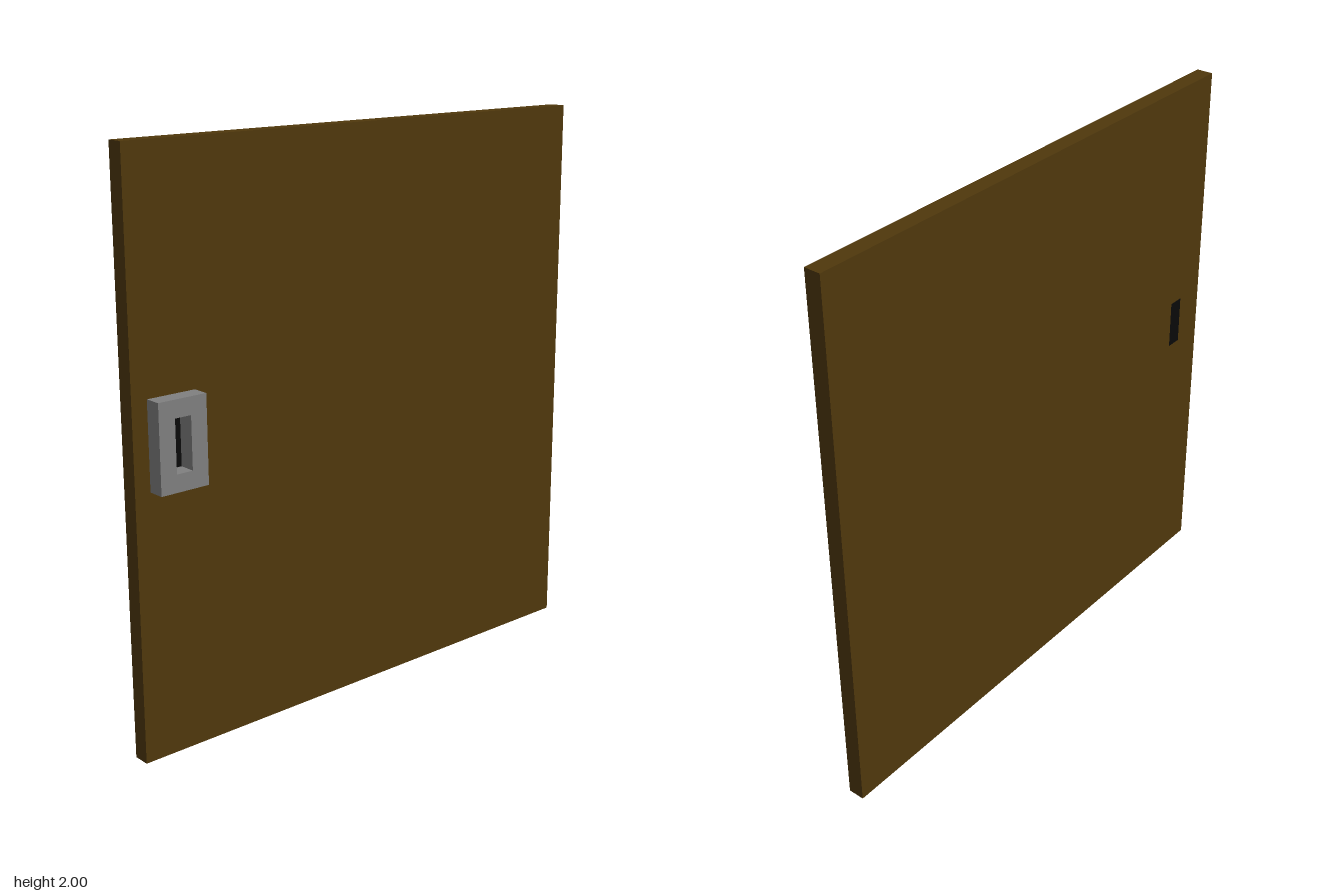
import * as THREE from 'three';

// Rectangular outline from its left, bottom, right and top edges
function trace(path, [l, b, r, t]) {
  path.moveTo(l, b);
  path.lineTo(r, b);
  path.lineTo(r, t);
  path.lineTo(l, t);
  path.closePath();
  return path;
}

// Flat slab with a rectangular slot cut through it
function slottedSlab(name, outline, slot, depth, z, material) {
  const shape = trace(new THREE.Shape(), outline);
  shape.holes.push(trace(new THREE.Path(), slot));
  const geometry = new THREE.ExtrudeGeometry(shape, { depth, bevelEnabled: false });
  const mesh = new THREE.Mesh(geometry, material);
  mesh.name = name;
  mesh.position.z = z;
  return mesh;
}

export function createModel() {
  const wood = new THREE.MeshStandardMaterial({ name: 'dark brown wood', color: 0x50380c });
  const metal = new THREE.MeshStandardMaterial({ name: 'grey metal', color: 0x808080 });
  const black = new THREE.MeshStandardMaterial({ name: 'black', color: 0x090909 });

  const depth = 0.06;
  const slot = [-0.85, 0.975, -0.79, 1.155];
  const group = new THREE.Group();
  group.name = 'slidingDoor';

  // Door panel and the raised pull frame on its front
  group.add(slottedSlab('doorPanel', [-0.967, 0, 0.967, 2], slot, depth, -depth, wood));
  group.add(slottedSlab('handleFrame', [-0.91, 0.915, -0.73, 1.215], slot, depth, 0, metal));

  // Black insert filling the panel slot, flush with both panel faces
  const [l, b, r, t] = slot;
  const insert = new THREE.Mesh(new THREE.BoxGeometry(r - l, t - b, depth), black);
  insert.name = 'slotInsert';
  insert.position.set((l + r) / 2, (b + t) / 2, -depth / 2);
  group.add(insert);

  return group;
}
